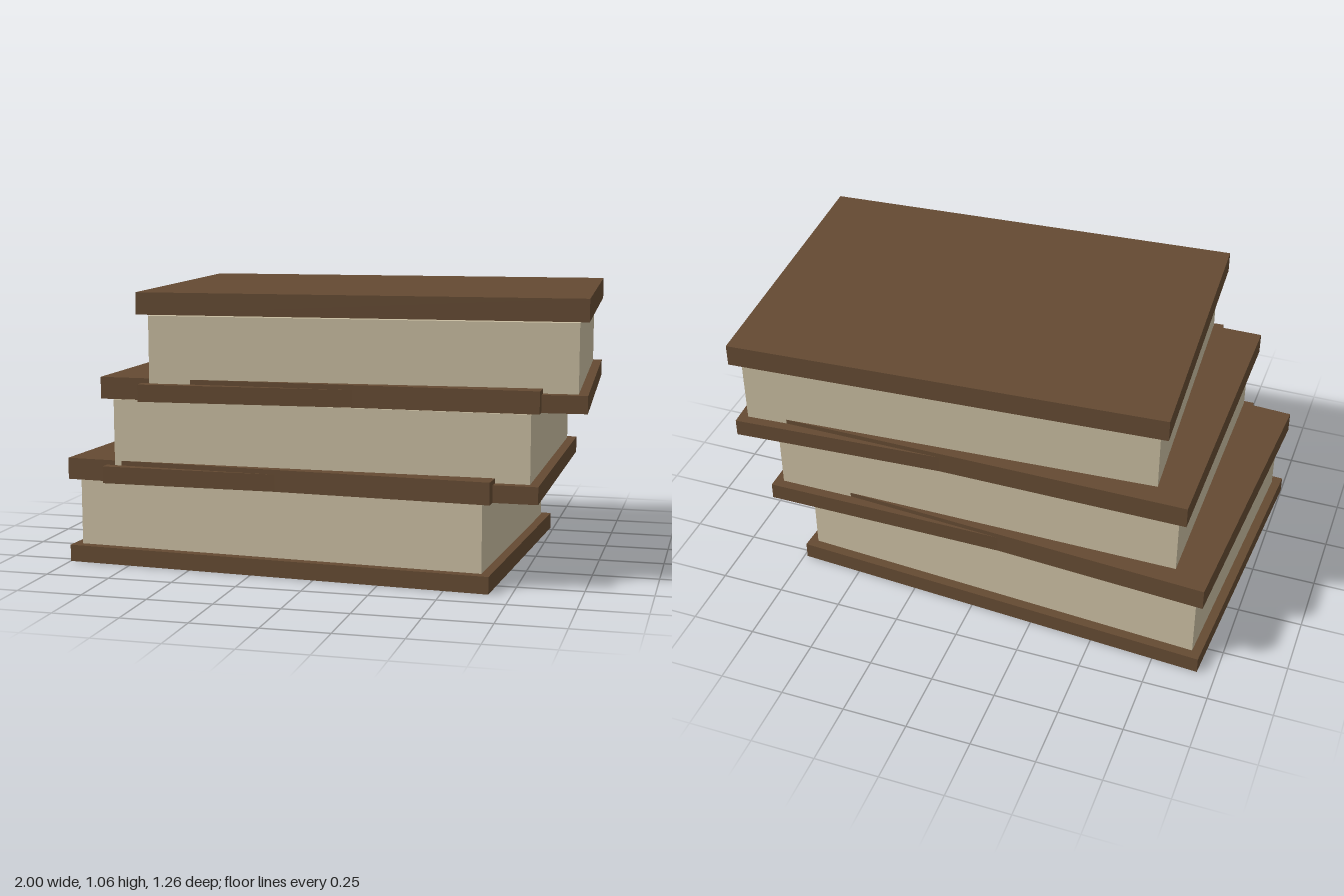
import * as THREE from 'three';

const leather = new THREE.MeshStandardMaterial({ color: 0x644a32 });
leather.name = 'brown leather';
const paper = new THREE.MeshStandardMaterial({ color: 0xc8bca0 });
paper.name = 'aged paper';

// Box standing between two heights
function slab(name, width, depth, bottom, top, material) {
  const mesh = new THREE.Mesh(new THREE.BoxGeometry(width, top - bottom, depth), material);
  mesh.name = name;
  mesh.position.y = (bottom + top) / 2;
  return mesh;
}

// One closed book: two covers with the inset page block between them
function makeBook(name) {
  const book = new THREE.Group();
  book.name = name;
  book.add(
    slab('lowerCover', 1.67, 1.165, 0, 0.065, leather),
    slab('pages', 1.6, 1.09, 0.065, 0.32, paper),
    slab('upperCover', 1.67, 1.165, 0.327, 0.41, leather),
  );
  return book;
}

export function createModel() {
  const stack = new THREE.Group();
  stack.name = 'bookStack';
  // Each book is shifted and turned a little further than the one below
  ['bottomBook', 'middleBook', 'topBook'].forEach((name, i) => {
    const book = makeBook(name);
    book.position.set((i - 1) * 0.131, i * 0.327, 0);
    book.rotation.y = (i - 1) * 0.06;
    stack.add(book);
  });
  return stack;
}
